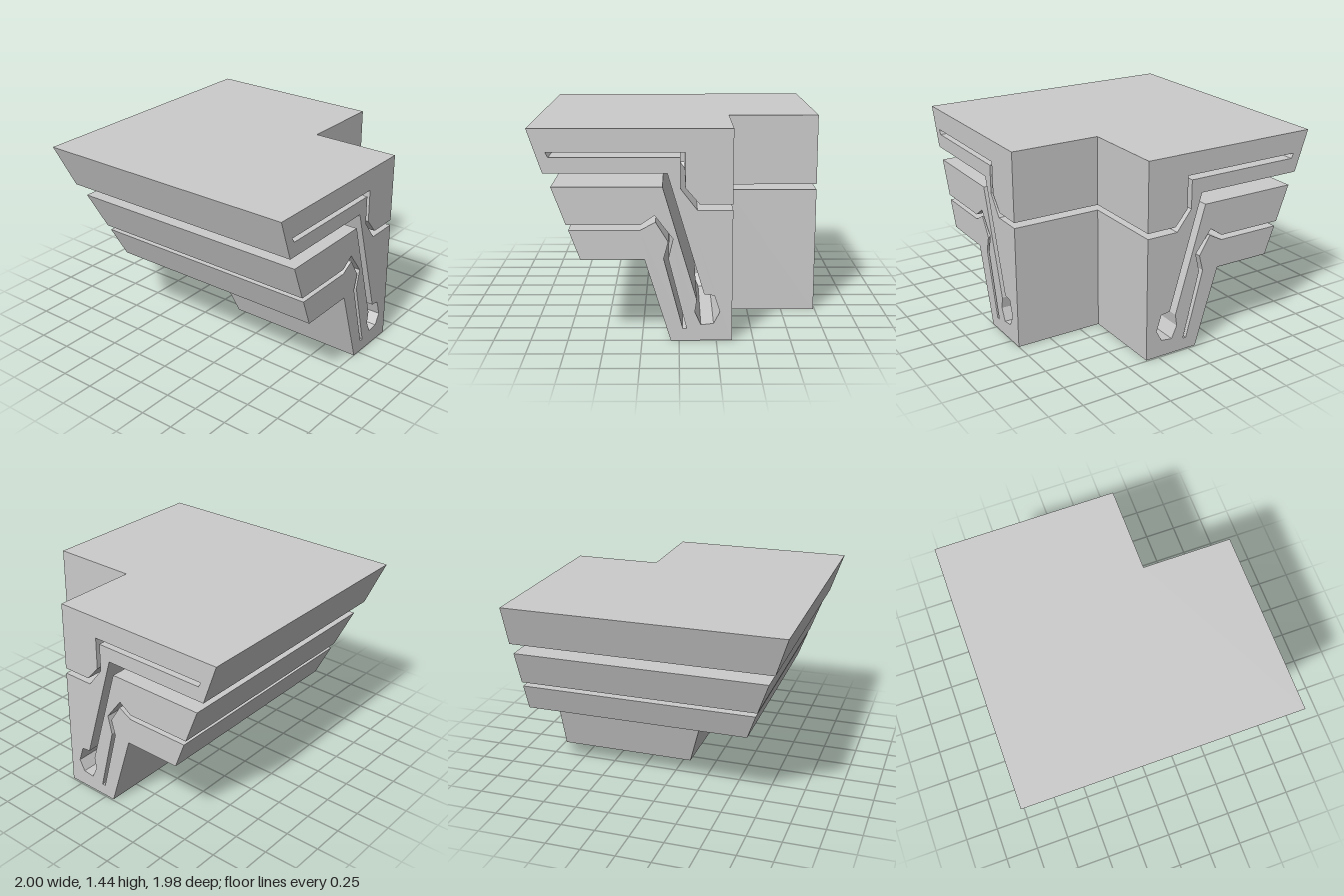
import * as THREE from 'three';

// Cross-section of the moulding as [distance towards the outside, height]
const PROFILE = [
  // top slab
  [-0.355, 1.44], [0.99, 1.44], [0.89, 1.145],
  // upper outer slot, running down to a rounded bulb
  [0.077, 1.145], [-0.167, 0.325], [-0.236, 0.315], [-0.273, 0.2], [-0.231, 0.12],
  [-0.146, 0.11], [-0.105, 0.2], [-0.118, 0.285], [0.109, 1.055],
  // middle lip
  [0.84, 1.055], [0.745, 0.8],
  // lower outer slot, bent over and down
  [0.257, 0.8], [0.162, 0.865], [0.04, 0.705], [0.072, 0.57], [-0.05, 0.085],
  [-0.024, 0.085], [0.103, 0.57], [0.072, 0.685], [0.156, 0.82], [0.257, 0.765],
  // lower lip and foot
  [0.73, 0.765], [0.655, 0.565], [0.23, 0.565], [0.056, 0], [-0.355, 0],
  // slot from the inner face, up and out under the top slab
  [-0.355, 0.9], [-0.12, 0.9], [-0.008, 1.045], [-0.008, 1.25], [0.85, 1.25],
  [0.87, 1.285], [-0.04, 1.285], [-0.04, 1.05], [-0.135, 0.94], [-0.355, 0.94],
].map(([d, y]) => new THREE.Vector2(d, y)).reverse();

// Sweep stations: end of the front arm, mitre, end of the side arm
const STATIONS = [
  (p) => [1, p.y, p.x],
  (p) => [-p.x - 0.01, p.y, p.x],
  (p) => [-p.x - 0.01, p.y, -0.99],
];

function sweepGeometry(profile, stations) {
  const positions = [];
  const triangle = (...corners) => corners.forEach((c) => positions.push(...c));

  // walls along both arms
  for (let s = 0; s + 1 < stations.length; s++) {
    profile.forEach((p, i) => {
      const q = profile[(i + 1) % profile.length];
      const from = stations[s], to = stations[s + 1];
      triangle(from(p), from(q), to(q));
      triangle(from(p), to(q), to(p));
    });
  }

  // cut ends
  const first = stations[0], last = stations[stations.length - 1];
  for (const face of THREE.ShapeUtils.triangulateShape(profile, [])) {
    const [a, b, c] = face.map((i) => profile[i]);
    triangle(first(c), first(b), first(a));
    triangle(last(a), last(b), last(c));
  }

  const geometry = new THREE.BufferGeometry();
  geometry.setAttribute('position', new THREE.Float32BufferAttribute(positions, 3));
  geometry.computeVertexNormals();
  return geometry;
}

export function createModel() {
  const model = new THREE.Group();
  model.name = 'corniceCorner';
  const material = new THREE.MeshStandardMaterial({ color: 0xcccccc, flatShading: true });
  const moulding = new THREE.Mesh(sweepGeometry(PROFILE, STATIONS), material);
  moulding.name = 'mitredMoulding';
  model.add(moulding);
  return model;
}
